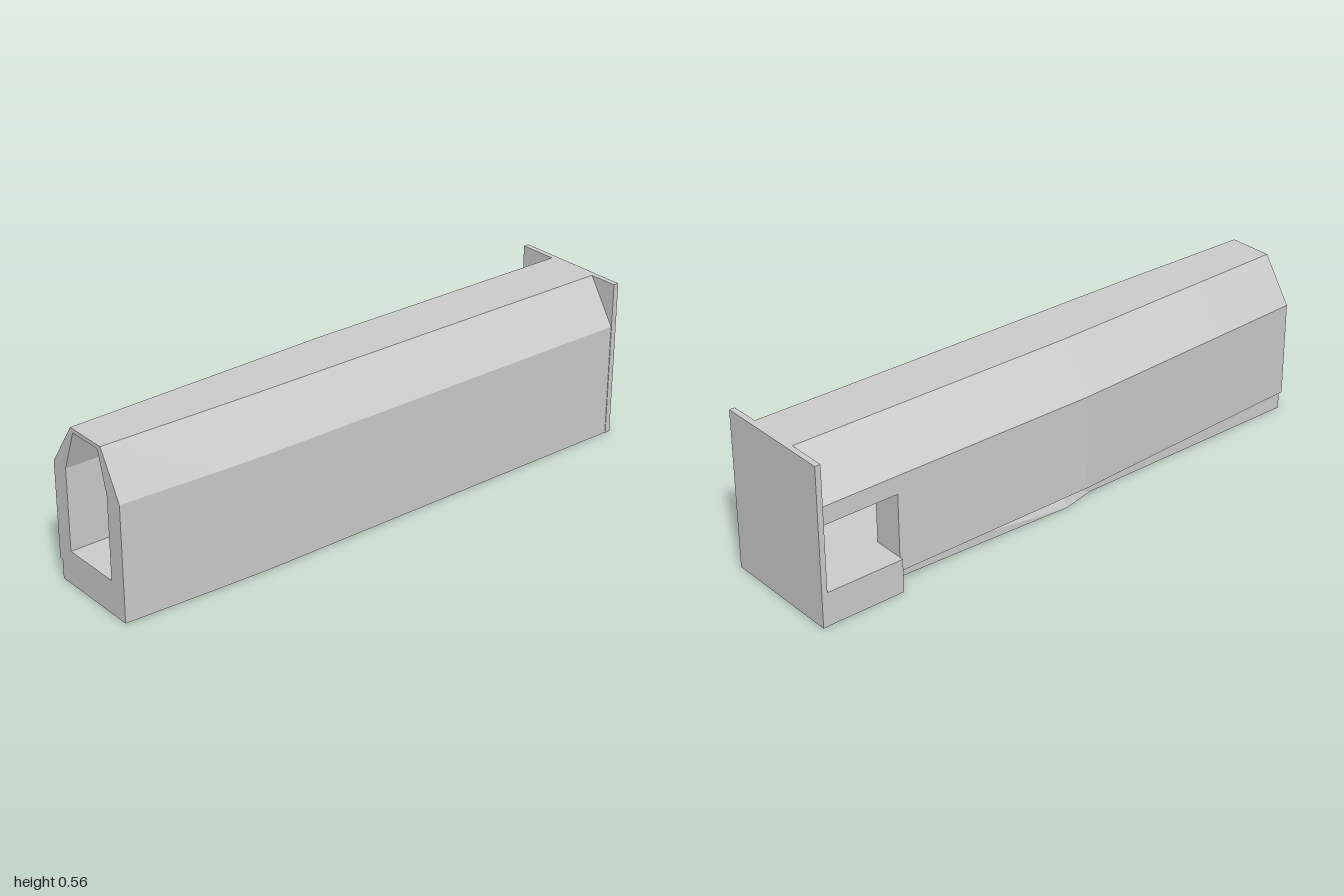
import * as THREE from 'three';

const material = new THREE.MeshStandardMaterial({ color: 0xcccccc, flatShading: true });

// Piecewise linear lookup through [z, value] pairs
function along(keys, z) {
  if (z <= keys[0][0]) return keys[0][1];
  for (let i = 1; i < keys.length; i++) {
    const [z0, v0] = keys[i - 1], [z1, v1] = keys[i];
    if (z <= z1) return v0 + (v1 - v0) * (z - z0) / (z1 - z0);
  }
  return keys[keys.length - 1][1];
}

// Joins counter-clockwise sections (seen from +z) along z and caps both ends
function loft(name, stations, section) {
  const pos = [];
  const rings = stations.map(z => section(z).map(([x, y]) => [x, y, z]));
  const n = rings[0].length;
  for (let s = 0; s < rings.length - 1; s++) {
    const a = rings[s], b = rings[s + 1];
    for (let i = 0; i < n; i++) {
      const j = (i + 1) % n;
      pos.push(...a[i], ...a[j], ...b[j], ...a[i], ...b[j], ...b[i]);
    }
  }
  const cap = (ring, front) => {
    const flat = ring.map(p => new THREE.Vector2(p[0], p[1]));
    for (const [i, j, k] of THREE.ShapeUtils.triangulateShape(flat, [])) {
      pos.push(...ring[i], ...ring[front ? j : k], ...ring[front ? k : j]);
    }
  };
  cap(rings[0], false);
  cap(rings[rings.length - 1], true);
  const geometry = new THREE.BufferGeometry();
  geometry.setAttribute('position', new THREE.Float32BufferAttribute(pos, 3));
  geometry.computeVertexNormals();
  const mesh = new THREE.Mesh(geometry, material);
  mesh.name = name;
  return mesh;
}

function box(name, x0, x1, y0, y1, z0, z1) {
  const mesh = new THREE.Mesh(new THREE.BoxGeometry(x1 - x0, y1 - y0, z1 - z0), material);
  mesh.position.set((x0 + x1) / 2, (y0 + y1) / 2, (z0 + z1) / 2);
  mesh.name = name;
  return mesh;
}

// Outer edges taper toward the front
const leftWall = [[-1, 0.217], [0.47, 0.217], [0.67, 0.21], [1, 0.195]];
const rightWall = [[-1, -0.203], [0.05, -0.203], [1, -0.155]];
const roofLeft = [[-1, 0.115], [0.47, 0.115], [1, 0.108]];
const roofRight = [[-1, -0.08], [0.05, -0.08], [1, -0.05]];

// Hollow shell: two walls, sloped shoulders and a thin flat roof
const shell = rightBottom => z => [
  [along(leftWall, z), 0], [along(leftWall, z), 0.402],
  [along(roofLeft, z), 0.557], [along(roofRight, z), 0.557],
  [along(rightWall, z), 0.403], [along(rightWall, z), rightBottom],
  [-0.09, rightBottom], [-0.09, 0.403],
  [-0.037, 0.543], [0.092, 0.543],
  [0.13, 0.403], [0.13, 0],
];

// Stepped floor whose lower edge bulges out near the middle
const floorEdge = [[-0.7, -0.142], [0, -0.17], [0.12, -0.142], [1, -0.142]];
const floorSection = z => [
  [along(floorEdge, z), 0], [0.13, 0], [0.13, 0.118],
  [-0.09, 0.118], [-0.09, 0.067], [-0.142, 0.067],
];

export function createModel() {
  const group = new THREE.Group();
  group.name = 'corridor';
  group.add(
    loft('corridorShell', [-0.7, 0.05, 0.47, 0.67, 1], shell(0.067)),
    // Rear stretch, with the side doorway below the lintel
    loft('doorwayShell', [-0.98, -0.7], shell(0.34)),
    loft('floor', [-0.7, 0, 0.12, 1], floorSection),
    box('doorwayFloor', -0.218, 0.13, 0, 0.118, -0.98, -0.7),
    box('backWall', -0.219, 0.219, 0, 0.557, -1, -0.98),
  );
  return group;
}
